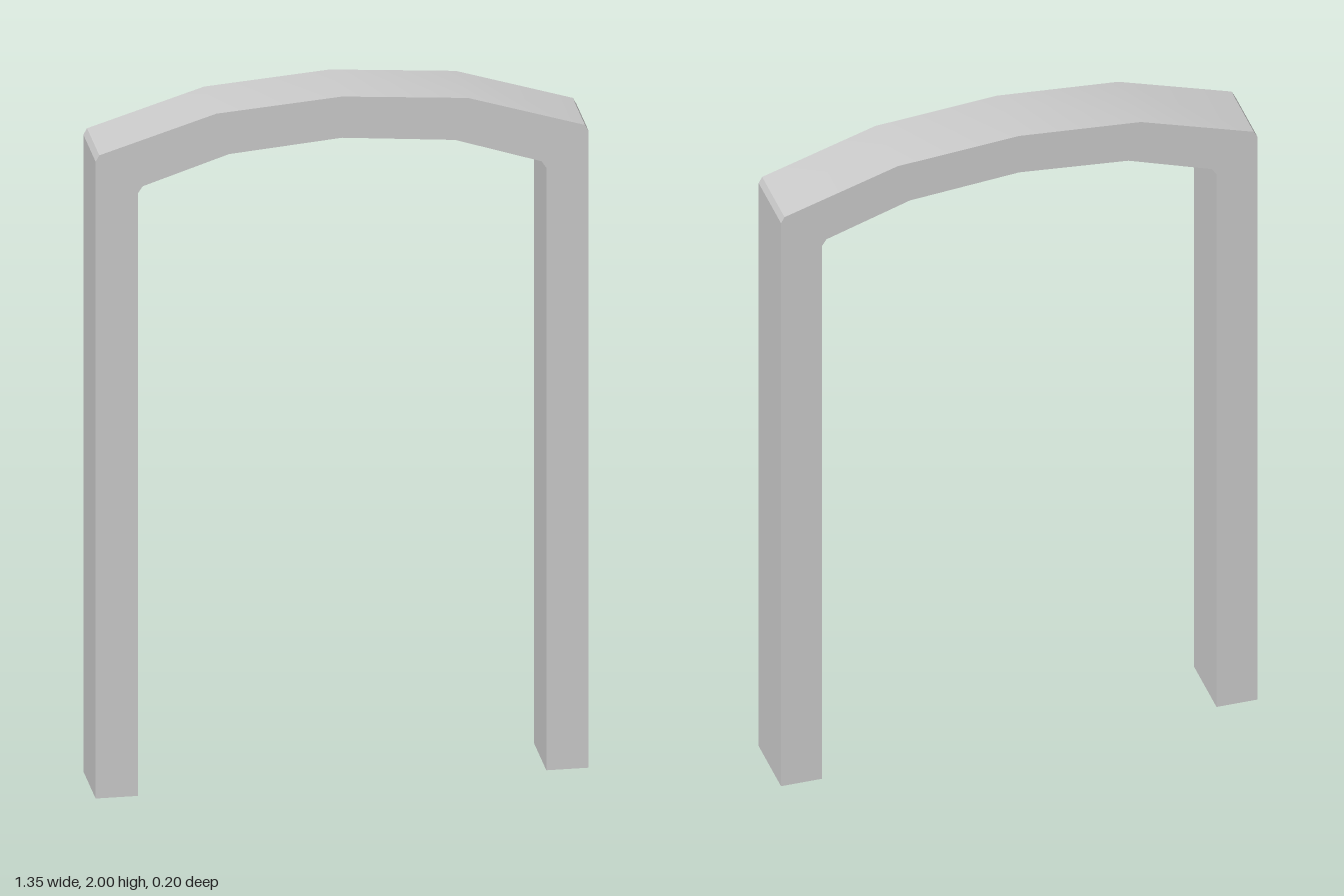
import * as THREE from 'three';
import { toCreasedNormals } from 'three/addons/utils/BufferGeometryUtils.js';

const HALF_DEPTH = 0.1;

// Left half of the frame, foot to crown: [outer x, outer y, inner x, inner y]
const half = [
  [0.676, 0, 0.56, 0],
  [0.676, 1.855, 0.56, 1.755],
  [0.666, 1.873, 0.547, 1.775],
  [0.345, 1.973, 0.31, 1.853],
  [0, 2, 0, 1.88],
];

// Hollow rectangular tube swept through the stations, open at both feet
function sweptFrame(stations) {
  const positions = [];
  const index = [];
  stations.forEach(([ox, oy, ix, iy], s) => {
    positions.push(ox, oy, HALF_DEPTH, ix, iy, HALF_DEPTH, ix, iy, -HALF_DEPTH, ox, oy, -HALF_DEPTH);
    if (s === stations.length - 1) return;
    for (let k = 0; k < 4; k++) {
      const a = s * 4 + k;
      const b = s * 4 + ((k + 1) % 4);
      index.push(a, b, b + 4, a, b + 4, a + 4);
    }
  });
  const geometry = new THREE.BufferGeometry();
  geometry.setAttribute('position', new THREE.Float32BufferAttribute(positions, 3));
  geometry.setIndex(index);
  return toCreasedNormals(geometry, 0.5);
}

export function createModel() {
  const group = new THREE.Group();
  group.name = 'archedFrame';

  // Mirror the half profile, running from the right foot over the crown to the left foot
  const right = half.map(([ox, oy, ix, iy]) => [-ox, oy, -ix, iy]);
  const stations = [...right, ...half.slice(0, -1).reverse()];

  const material = new THREE.MeshStandardMaterial({ color: 0xcccccc, side: THREE.DoubleSide });
  const frame = new THREE.Mesh(sweptFrame(stations), material);
  frame.name = 'archAndPosts';
  group.add(frame);
  return group;
}
